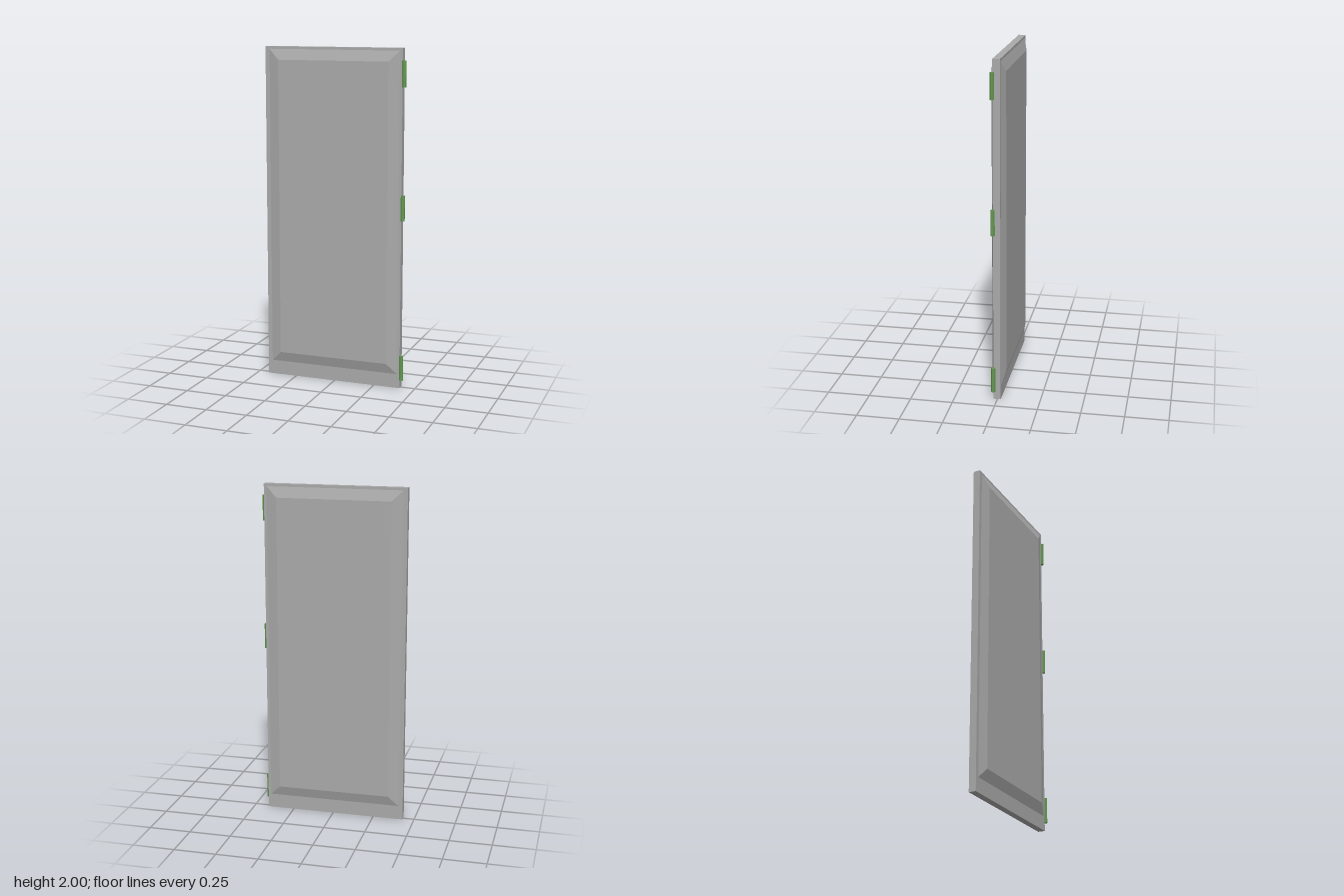
import * as THREE from 'three';

export function createModel() {
  const door = new THREE.Group();
  door.name = 'door';
  const grey = new THREE.MeshStandardMaterial({ color: 0xaaaaaa });
  grey.name = 'door grey';
  const green = new THREE.MeshStandardMaterial({ color: 0x649850 });
  green.name = 'hinge green';

  const add = (name, geometry, material, x, y, z) => {
    const mesh = new THREE.Mesh(geometry, material);
    mesh.name = name;
    mesh.position.set(x, y, z);
    door.add(mesh);
    return mesh;
  };

  // Main slab
  add('slab', new THREE.BoxGeometry(0.843, 2, 0.042), grey, -0.0105, 1, 0.001);

  // Raised panel: a box whose outer face is drawn in to form wide bevels
  const width = 0.8, height = 1.9, depth = 0.02, inset = 0.062;
  const panel = new THREE.BoxGeometry(width, height, depth);
  const p = panel.attributes.position;
  for (let i = 0; i < p.count; i++) {
    if (p.getZ(i) > 0) {
      p.setX(i, p.getX(i) - Math.sign(p.getX(i)) * inset);
      p.setY(i, p.getY(i) - Math.sign(p.getY(i)) * inset);
    }
  }
  const flat = panel.toNonIndexed();
  flat.computeVertexNormals();
  add('frontPanel', flat, grey, -0.006, 1.035, 0.032);
  add('backPanel', flat, grey, -0.006, 1.035, -0.03).rotation.y = Math.PI;

  // Six-sided hinge barrels along the left edge
  const barrel = new THREE.CylinderGeometry(0.0125, 0.0125, 0.15, 6).toNonIndexed();
  barrel.computeVertexNormals();
  [['lowerHinge', 0.125], ['middleHinge', 1.085], ['upperHinge', 1.855]].forEach(
    ([name, y]) => add(name, barrel, green, 0.42, y, 0.022)
  );

  return door;
}
